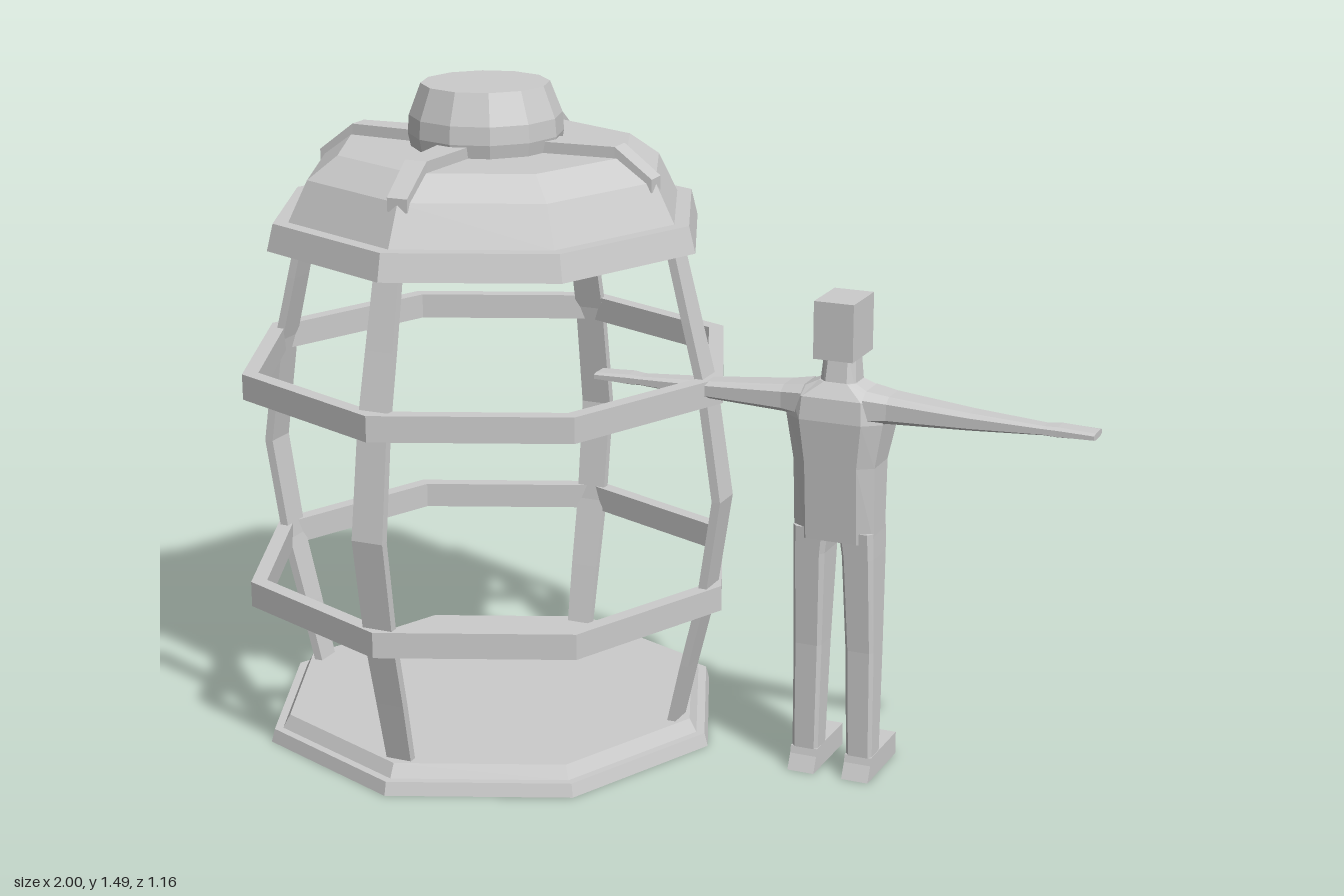
import * as THREE from 'three';

const material = new THREE.MeshStandardMaterial({ color: 0xcccccc, flatShading: true });

function addMesh(parent, name, geometry) {
  const mesh = new THREE.Mesh(geometry, material);
  mesh.name = name;
  parent.add(mesh);
  return mesh;
}

// Faceted solid of revolution from a bottom-to-top profile
function lathe(profile, sides) {
  return new THREE.LatheGeometry(profile.map(([r, y]) => new THREE.Vector2(r, y)), sides);
}

// Skins rectangular sections [t, u0, u1, v0, v1] with corners cut by a fraction.
// place(t, u, v) turns section coordinates into a point.
function loft(sections, place, cut = 0) {
  const rings = sections.map(([t, u0, u1, v0, v1]) => {
    const a = (u1 - u0) * cut, b = (v1 - v0) * cut;
    const corners = cut
      ? [[u0 + a, v0], [u1 - a, v0], [u1, v0 + b], [u1, v1 - b], [u1 - a, v1], [u0 + a, v1], [u0, v1 - b], [u0, v0 + b]]
      : [[u0, v0], [u1, v0], [u1, v1], [u0, v1]];
    return corners.map(([u, v]) => new THREE.Vector3(...place(t, u, v)));
  });
  const n = rings[0].length, last = rings[rings.length - 1], tris = [];
  for (let i = 0; i + 1 < rings.length; i++) {
    for (let j = 0; j < n; j++) {
      const k = (j + 1) % n, a = rings[i], b = rings[i + 1];
      tris.push([a[j], a[k], b[k]], [a[j], b[k], b[j]]);
    }
  }
  for (let j = 1; j + 1 < n; j++) {
    tris.push([rings[0][0], rings[0][j + 1], rings[0][j]], [last[0], last[j], last[j + 1]]);
  }
  // Turn the faces outward whichever way the section axes run
  const volume = tris.reduce((s, [a, b, c]) => s + a.dot(b.clone().cross(c)), 0);
  const points = tris.flatMap(([a, b, c]) => (volume < 0 ? [a, c, b] : [a, b, c]));
  const geometry = new THREE.BufferGeometry().setFromPoints(points);
  geometry.computeVertexNormals();
  return geometry;
}

const upright = (t, u, v) => [u, t, v];
const sideways = (t, u, v) => [t, u, v];

function createCage() {
  const cage = new THREE.Group();
  cage.name = 'cage';

  // Stepped octagonal floor
  addMesh(cage, 'floor', lathe([[0, 0], [0.54, 0], [0.532, 0.03], [0.512, 0.03], [0.495, 0.06], [0, 0.06]], 8));

  // Two octagonal hoops
  for (const [name, y] of [['lowerHoop', 0.335], ['upperHoop', 0.82]]) {
    const inner = 0.535, outer = 0.572, top = y + 0.058;
    addMesh(cage, name, lathe([[inner, y], [outer, y], [outer, top], [inner, top], [inner, y]], 8));
  }

  // Roof rim and dome, then the round cap
  addMesh(cage, 'roof', lathe([[0, 1.15], [0.505, 1.15], [0.49, 1.21], [0.455, 1.21],
    [0.41, 1.3], [0.34, 1.35], [0, 1.35]], 8));
  addMesh(cage, 'cap', lathe([[0.165, 1.34], [0.173, 1.38], [0.17, 1.42], [0.143, 1.49], [0, 1.49]], 12));

  // Bowed posts and roof braces at the four axis corners
  const post = [[0.05, 0.46, 0.03], [0.2, 0.495, 0.033], [0.36, 0.535, 0.035], [0.6, 0.572, 0.037],
    [0.85, 0.535, 0.035], [1, 0.497, 0.033], [1.16, 0.457, 0.03]]
    .map(([y, r, w]) => [y, r - 0.01, r + 0.01, -w, w]);
  const brace = [[0.13, 1.3, 1.375, -0.038, 0.038], [0.325, 1.3, 1.375, -0.026, 0.026],
    [0.412, 1.28, 1.31, -0.024, 0.024]];
  for (let i = 0; i < 4; i++) {
    const corner = new THREE.Group();
    corner.name = 'corner' + (i + 1);
    corner.rotation.y = i * Math.PI / 2;
    addMesh(corner, 'post', loft(post, upright));
    addMesh(corner, 'roofBrace', loft(brace, sideways));
    cage.add(corner);
  }
  return cage;
}

// Standing figure with arms held out, looking toward -z
function createFigure() {
  const figure = new THREE.Group();
  figure.name = 'figure';

  addMesh(figure, 'torso', loft([
    [0.555, -0.092, 0.092, -0.055, 0.055],
    [0.73, -0.093, 0.093, -0.062, 0.068],
    [0.83, -0.11, 0.11, -0.088, 0.076],
    [0.88, -0.105, 0.105, -0.06, 0.07],
    [0.91, -0.042, 0.042, -0.035, 0.045],
  ], upright, 0.18));
  addMesh(figure, 'neck', loft([
    [0.89, -0.042, 0.042, -0.04, 0.045],
    [0.97, -0.036, 0.036, -0.03, 0.03],
  ], upright, 0.2));
  addMesh(figure, 'head', new THREE.BoxGeometry(0.09, 0.127, 0.125)).position.set(0, 1.027, 0);

  for (const s of [-1, 1]) {
    const side = s > 0 ? 'left' : 'right';
    const mirrored = (t, u, v) => [s * t, u, v];
    const mirroredUpright = (t, u, v) => [s * u, t, v];
    // Tapering arm ending in a flat hand
    addMesh(figure, side + 'Arm', loft([
      [0.07, 0.825, 0.9, -0.045, 0.068],
      [0.12, 0.832, 0.892, -0.036, 0.058],
      [0.3, 0.84, 0.878, -0.015, 0.053],
      [0.46, 0.849, 0.869, -0.002, 0.046],
      [0.49, 0.847, 0.869, -0.016, 0.045],
      [0.57, 0.85, 0.865, -0.016, 0.044],
    ], mirrored, 0.2));
    addMesh(figure, side + 'Leg', loft([
      [0.03, 0.034, 0.094, -0.03, 0.03],
      [0.3, 0.028, 0.094, -0.042, 0.034],
      [0.52, 0.02, 0.093, -0.053, 0.05],
      [0.58, 0.012, 0.092, -0.056, 0.054],
    ], mirroredUpright, 0.12));
    // Shoe runs forward from the heel
    addMesh(figure, side + 'Foot', loft([
      [0, 0.033, 0.095, -0.135, 0.05],
      [0.035, 0.033, 0.095, -0.135, 0.034],
      [0.052, 0.033, 0.095, -0.135, 0.03],
    ], mirroredUpright));
  }
  return figure;
}

export function createModel() {
  const model = new THREE.Group();
  model.name = 'cageWithFigure';
  const cage = createCage();
  cage.position.x = -0.42;
  const figure = createFigure();
  figure.position.x = 0.43;
  model.add(cage, figure);
  return model;
}
